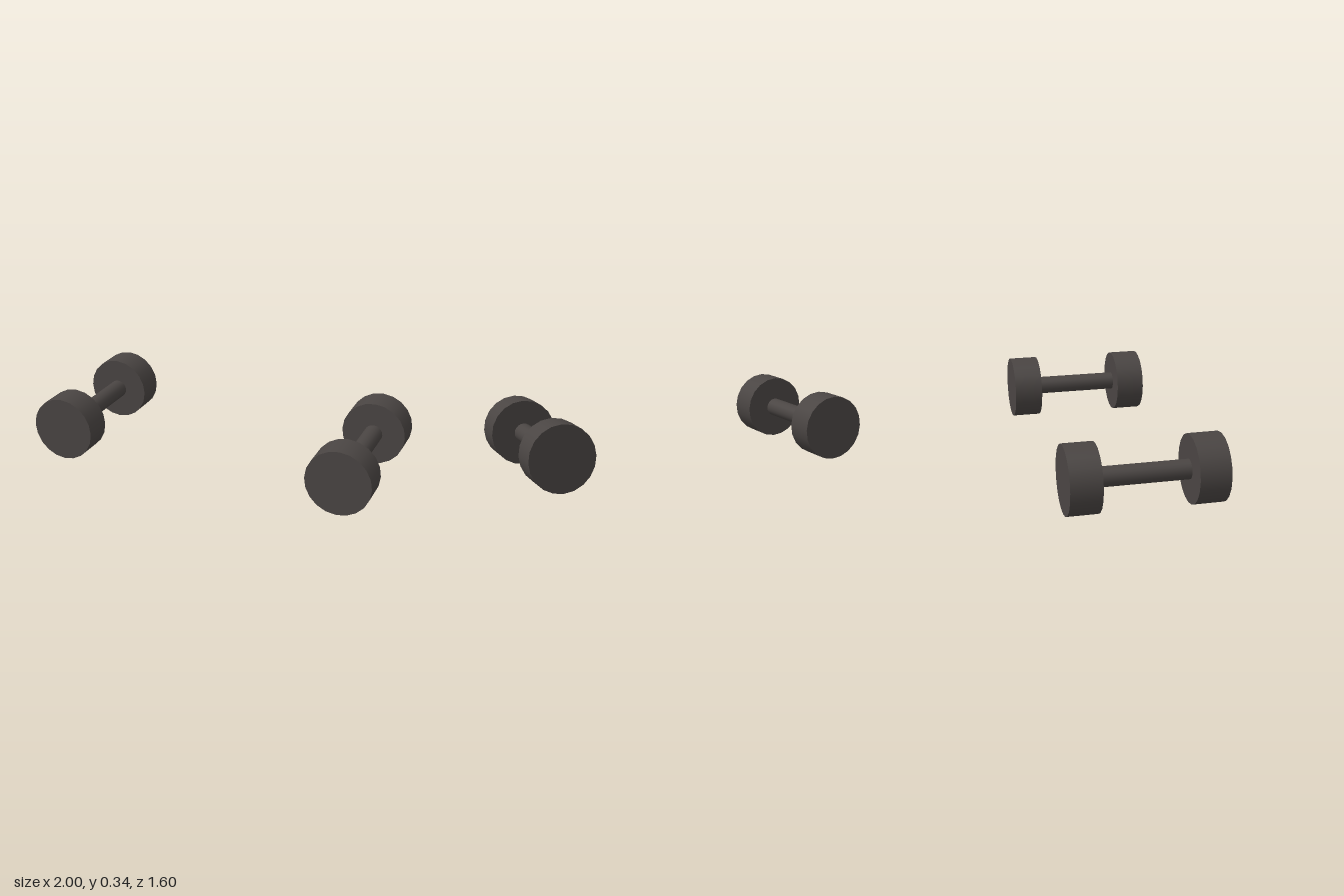
import * as THREE from 'three';

const iron = new THREE.MeshStandardMaterial({ color: 0x4a4543 });
iron.name = 'darkIron';

// Cylinder lying along z, centred at the given z
function rod(name, radius, length, z, sides) {
  const geometry = new THREE.CylinderGeometry(radius, radius, length, sides).rotateX(Math.PI / 2);
  const mesh = new THREE.Mesh(geometry, iron);
  mesh.name = name;
  mesh.position.z = z;
  return mesh;
}

// Two round weights joined by a slim handle
function dumbbell(name) {
  const group = new THREE.Group();
  group.name = name;
  group.add(rod('handle', 0.049, 0.5, 0, 20));
  group.add(rod('frontWeight', 0.17, 0.154, 0.305, 20));
  group.add(rod('backWeight', 0.17, 0.154, -0.305, 20));
  return group;
}

export function createModel() {
  const model = new THREE.Group();
  model.name = 'dumbbellPair';
  // Parallel pair, both turned the same way and staggered
  for (const side of [1, -1]) {
    const bell = dumbbell(side > 0 ? 'leftDumbbell' : 'rightDumbbell');
    bell.position.set(side * 0.662, 0.17, side * 0.382);
    bell.rotation.y = -Math.PI / 6;
    model.add(bell);
  }
  return model;
}
